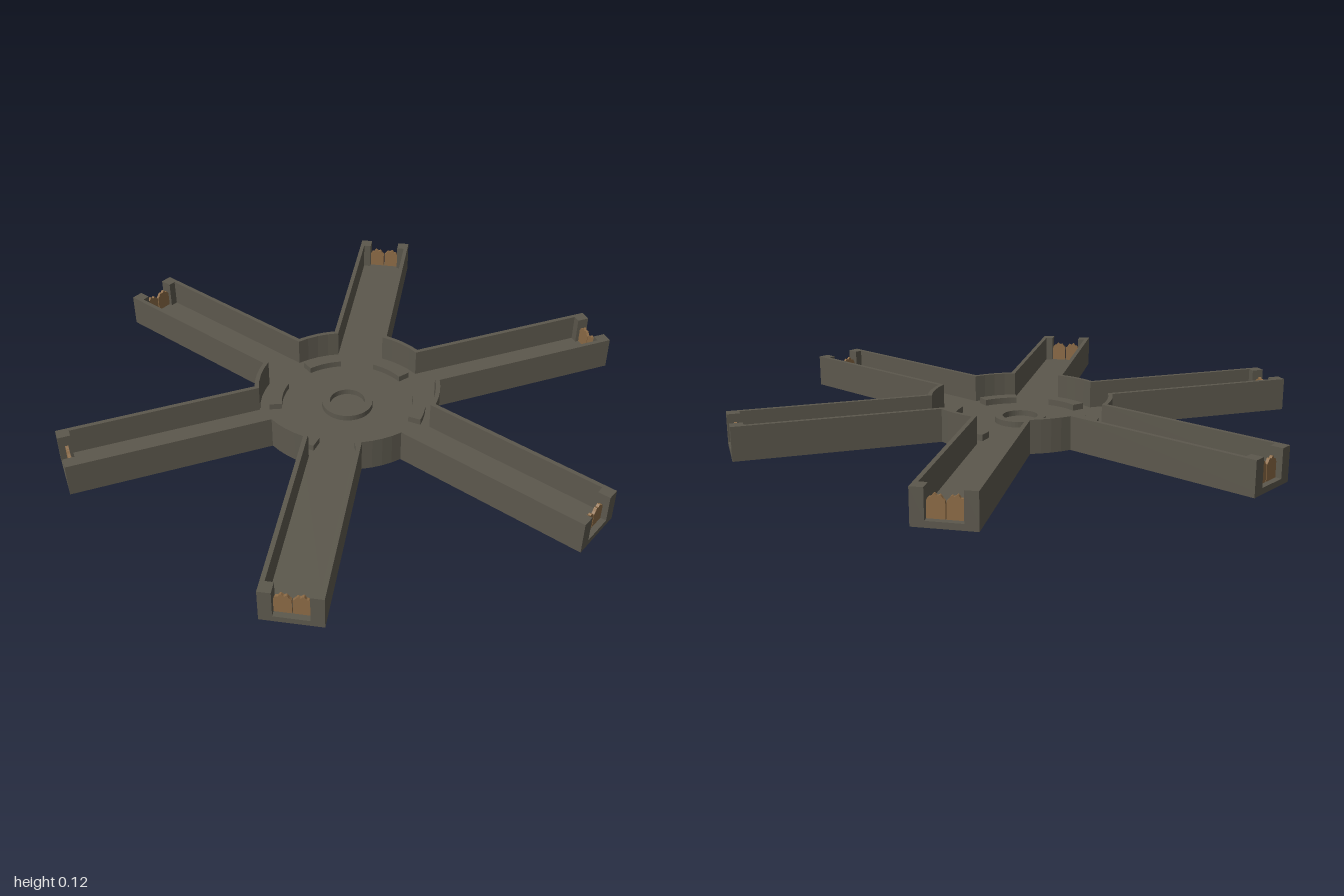
import * as THREE from 'three';

const stone = new THREE.MeshStandardMaterial({ color: 0x5c584d });
stone.name = 'stone';
const wood = new THREE.MeshStandardMaterial({ color: 0x8c6b46 });
wood.name = 'wood';

const ARMS = 6, FLOOR = 0.02, HEIGHT = 0.116;
const HALF = 0.098, WALL = 0.015, HUB = 0.325;
const STEP = Math.PI / 3;

// point on the arm at +30 degrees: distance along it, offset towards the gap at angle 0
function armPoint(along, offset) {
  const c = Math.cos(Math.PI / 6), s = Math.sin(Math.PI / 6);
  return new THREE.Vector2(along * c + offset * s, along * s - offset * c);
}

// hub arc between two neighbouring arms, counter-clockwise
function hubArc(radius, half) {
  const end = Math.PI / 6 - Math.asin(half / radius);
  return Array.from({ length: 5 }, (_, i) => {
    const a = end * (i / 2 - 1);
    return new THREE.Vector2(radius * Math.cos(a), radius * Math.sin(a));
  });
}

const mirror = (p) => new THREE.Vector2(p.x, -p.y);

// extrude a ground plan upwards from a base height
function slab(shape, base, height, segments = 12) {
  const g = new THREE.ExtrudeGeometry(shape, { depth: height, bevelEnabled: false, curveSegments: segments });
  return g.rotateX(-Math.PI / 2).translate(0, base, 0);
}

function add(group, name, geometry, material, angle = 0) {
  const mesh = new THREE.Mesh(geometry, material);
  mesh.name = name;
  mesh.rotation.y = angle;
  group.add(mesh);
}

export function createModel() {
  const model = new THREE.Group();
  model.name = 'sixArmTrench';

  // outer edge of one gap, running from one arm tip to the next
  const tip = armPoint(1, HALF);
  const outer = [mirror(tip), ...hubArc(HUB, HALF), tip];

  // star-shaped floor
  const plan = [];
  for (let i = 0; i < ARMS; i++) {
    for (const p of outer) plan.push(p.clone().rotateAround(new THREE.Vector2(), i * STEP));
  }
  add(model, 'floor', slab(new THREE.Shape(plan), 0, FLOOR), stone);

  // wall around one gap, with thicker jambs at the arm tips
  const jamb = [armPoint(1, 0.056), armPoint(0.957, 0.056), armPoint(0.957, HALF - WALL)];
  const wallPlan = new THREE.Shape([
    ...outer, ...jamb,
    ...hubArc(HUB - WALL, HALF - WALL).reverse(),
    ...jamb.map(mirror).reverse(),
  ]);
  const wall = slab(wallPlan, FLOOR, HEIGHT - FLOOR);

  // low curved kerb in front of each hub wall
  const kerbPlan = new THREE.Shape();
  kerbPlan.absarc(0, 0, 0.277, -0.26, 0.26, false);
  kerbPlan.absarc(0, 0, 0.232, 0.26, -0.26, true);
  const kerb = slab(kerbPlan, FLOOR, 0.022, 8);

  // gate leaf with a wavy top edge
  const leafPlan = new THREE.Shape();
  leafPlan.moveTo(0.0015, FLOOR);
  leafPlan.lineTo(0.056, FLOOR);
  leafPlan.lineTo(0.056, 0.07);
  leafPlan.splineThru([[0.05, 0.082], [0.042, 0.084], [0.034, 0.094], [0.024, 0.087],
    [0.016, 0.09], [0.008, 0.08], [0.0015, 0.074]].map(([x, y]) => new THREE.Vector2(x, y)));
  const rightLeaf = new THREE.ExtrudeGeometry(leafPlan, { depth: 0.01, bevelEnabled: false, curveSegments: 3 });
  rightLeaf.translate(0, 0, 0.97);
  const leftLeaf = rightLeaf.clone().rotateY(Math.PI).translate(0, 0, 1.95);

  for (let i = 0; i < ARMS; i++) {
    add(model, 'wall', wall, stone, i * STEP);
    add(model, 'kerb', kerb, stone, i * STEP);
    add(model, 'gateLeaf', rightLeaf, wood, i * STEP);
    add(model, 'gateLeaf', leftLeaf, wood, i * STEP);
  }

  // ring in the middle of the hub
  const ringPlan = new THREE.Shape();
  ringPlan.absarc(0, 0, 0.09, 0, Math.PI * 2, false);
  const hole = new THREE.Path();
  hole.absarc(0, 0, 0.062, 0, Math.PI * 2, true);
  ringPlan.holes.push(hole);
  add(model, 'centreRing', slab(ringPlan, FLOOR, 0.02, 24), stone);

  return model;
}
